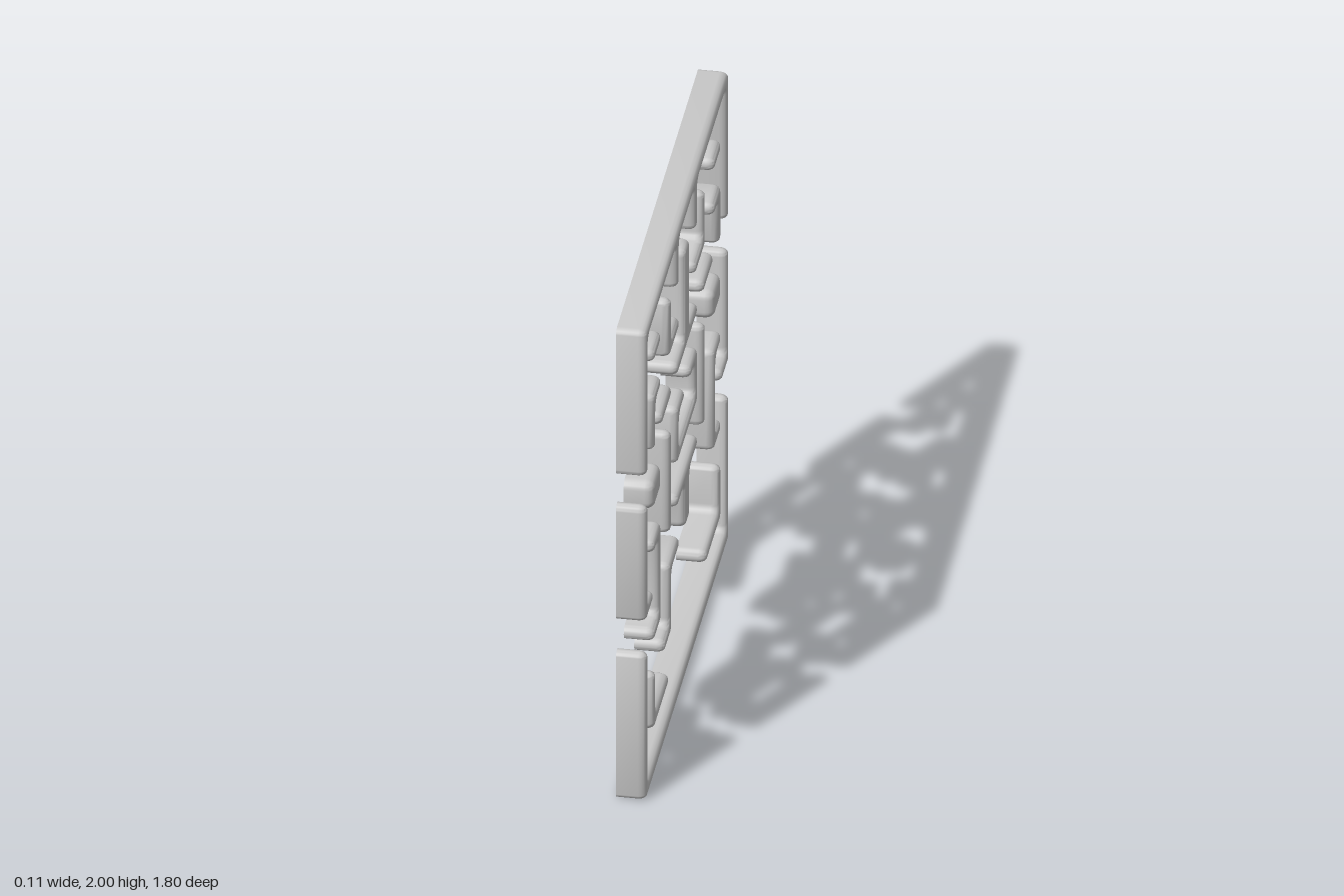
import * as THREE from 'three';
import { toCreasedNormals } from 'three/addons/utils/BufferGeometryUtils.js';

const BACK = -0.06, FRONT = 0.05;
const material = new THREE.MeshStandardMaterial({ color: 0xcccccc, side: THREE.DoubleSide });

// Closed outline with every right-angled corner rounded
function roundedShape(pts, outer, inner) {
  const P = pts.map(([x, y]) => new THREE.Vector2(x, y));
  const turn = Math.sign(THREE.ShapeUtils.area(P));
  const out = [];
  P.forEach((p, i) => {
    const prev = P[(i + P.length - 1) % P.length], next = P[(i + 1) % P.length];
    const a = prev.clone().sub(p), b = next.clone().sub(p);
    const convex = b.cross(a) * turn > 0;
    const r = Math.min(convex ? outer : inner, a.length() * 0.485, b.length() * 0.485);
    a.normalize();
    b.normalize();
    const c = p.clone().addScaledVector(a, r).addScaledVector(b, r);
    for (let k = 0; k <= 6; k++) {
      const t = (k / 6) * Math.PI / 2;
      out.push(c.clone().addScaledVector(b, -r * Math.cos(t)).addScaledVector(a, -r * Math.sin(t)));
    }
  });
  return new THREE.Shape(out);
}

// Hollow wall: soft bevelled face toward +x, open at the back
function wallGeometry(pts, { outer = 0.028, inner = 0.03, bevel = 0.02, round = 0.03 } = {}) {
  const extruded = new THREE.ExtrudeGeometry(roundedShape(pts, outer, inner), {
    depth: FRONT - BACK - round, bevelThickness: round, bevelSize: bevel,
    bevelOffset: -bevel, bevelSegments: 4, curveSegments: 1
  });
  const src = extruded.attributes.position, kept = [];
  for (let i = 0; i < src.count; i += 3) {
    if (Math.min(src.getZ(i), src.getZ(i + 1), src.getZ(i + 2)) < -1e-5) continue;
    for (let k = i; k < i + 3; k++) kept.push(src.getX(k), src.getY(k), src.getZ(k));
  }
  const geo = new THREE.BufferGeometry();
  geo.setAttribute('position', new THREE.Float32BufferAttribute(kept, 3));
  geo.rotateY(Math.PI / 2);
  geo.translate(BACK, 0, 0);
  return toCreasedNormals(geo, 0.75);
}

const mirror = (pts) => pts.map(([s, y]) => [-s, y]);
// Completes an outline that is symmetric about the middle from its one half
const symmetric = (half) => [...half, ...mirror(half).reverse()];
const rect = (s0, s1, y0, y1) => [[s0, y0], [s1, y0], [s1, y1], [s0, y1]];

export function createModel() {
  const group = new THREE.Group();
  const add = (name, pts, opts) => {
    const mesh = new THREE.Mesh(wallGeometry(pts, opts), material);
    mesh.name = name;
    group.add(mesh);
  };
  const addPair = (name, pts, opts) => {
    add(name + 'Left', pts, opts);
    add(name + 'Right', mirror(pts), opts);
  };

  // Outer border
  add('topBorder', symmetric([
    [-0.9, 2], [-0.9, 1.38], [-0.85, 1.38], [-0.85, 1.945],
    [-0.222, 1.945], [-0.222, 1.76], [-0.172, 1.76], [-0.172, 1.945]
  ]));
  add('bottomBorder', symmetric([[-0.85, 0.06], [-0.85, 0.625], [-0.9, 0.625], [-0.9, 0]]));
  addPair('sideBorder', [
    [-0.9, 1.25], [-0.9, 0.76], [-0.737, 0.76], [-0.737, 0.812], [-0.85, 0.812], [-0.85, 1.25]
  ]);

  // Centre pieces
  add('upperTee', symmetric([
    [-0.053, 1.82], [-0.053, 1.44], [-0.222, 1.44], [-0.222, 1.385]
  ]), { outer: 0.032 });
  add('centrePen', symmetric([
    [-0.172, 1.063], [-0.172, 1.197], [-0.06, 1.197], [-0.06, 1.25], [-0.222, 1.25], [-0.222, 1.008]
  ]));
  add('lowerTee', symmetric([
    [-0.222, 0.877], [-0.222, 0.822], [-0.053, 0.822], [-0.053, 0.63]
  ]), { outer: 0.032 });

  // Straight bars and blocks
  addPair('upperBar', rect(-0.73, -0.573, 1.76, 1.815));
  addPair('middleBar', rect(-0.56, -0.342, 1.385, 1.44));
  addPair('verticalBar', rect(-0.392, -0.342, 0.82, 1.25));
  addPair('block', rect(-0.733, -0.568, 1.13, 1.25), { outer: 0.035, bevel: 0.03, round: 0.035 });

  // Angled walls
  addPair('upperInnerCorner', [
    [-0.392, 1.815], [-0.392, 1.57], [-0.172, 1.57], [-0.172, 1.625], [-0.342, 1.625], [-0.342, 1.815]
  ]);
  addPair('upperOuterCorner', [
    [-0.73, 1.385], [-0.68, 1.385], [-0.68, 1.57], [-0.573, 1.57], [-0.573, 1.625], [-0.73, 1.625]
  ]);
  addPair('bracket', [
    [-0.73, 1], [-0.73, 0.945], [-0.62, 0.945], [-0.62, 0.625],
    [-0.73, 0.625], [-0.73, 0.57], [-0.57, 0.57], [-0.57, 1]
  ]);
  addPair('lowerCorner', [
    [-0.73, 0.435], [-0.73, 0.195], [-0.403, 0.195], [-0.403, 0.25], [-0.68, 0.25], [-0.68, 0.435]
  ]);
  add('zigzag', [
    [-0.504, 0.435], [-0.504, 0.38], [-0.342, 0.38], [-0.342, 0.635],
    [-0.172, 0.635], [-0.172, 0.69], [-0.392, 0.69], [-0.392, 0.435]
  ]);
  return group;
}
